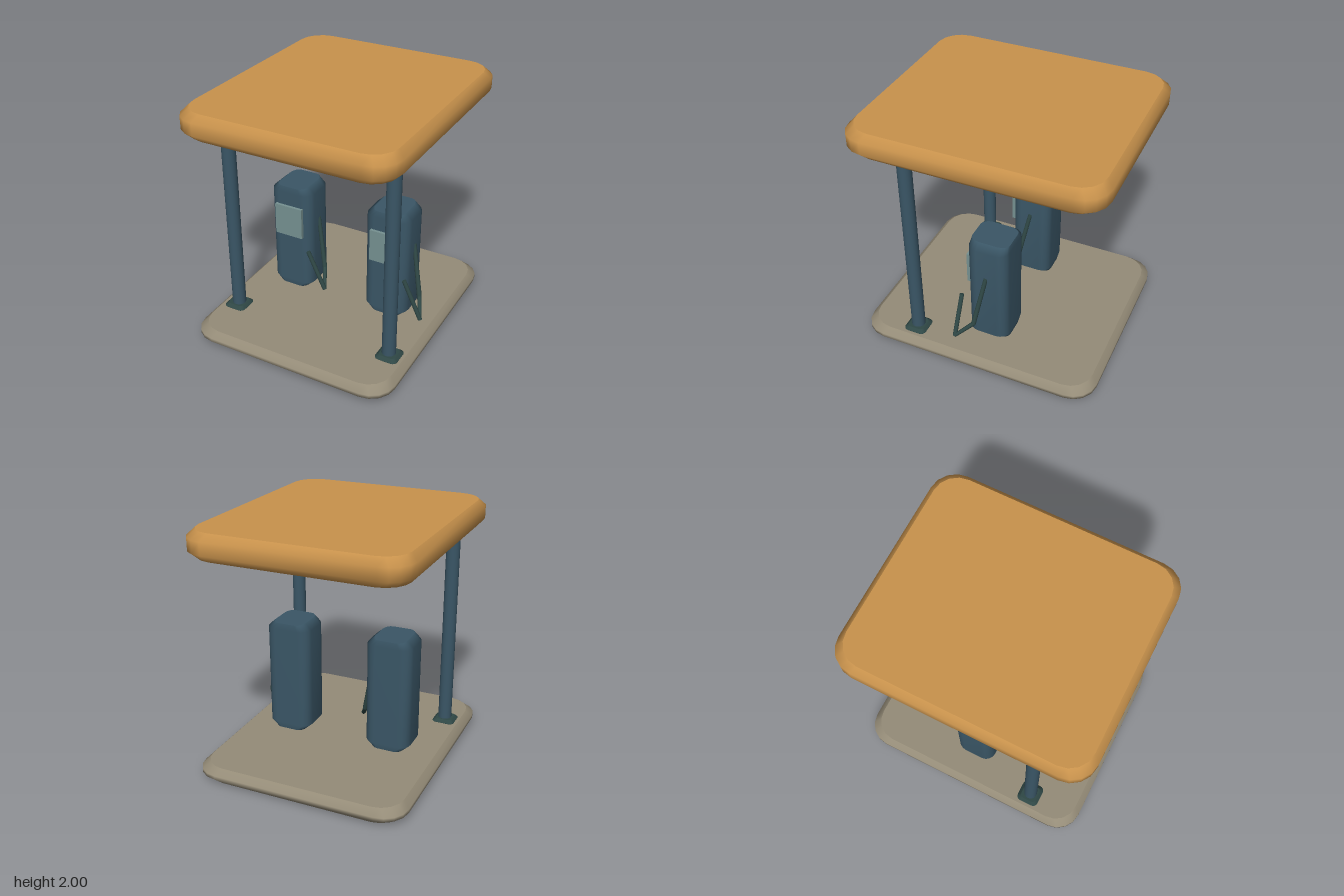
import * as THREE from 'three';

const paint = (name, color) => {
  const m = new THREE.MeshStandardMaterial({ color });
  m.name = name;
  return m;
};

// Rounded-corner block standing on y = 0, its top and bottom rims chamfered by bx, bz and by.
function chamferedBlock(w, d, h, r, bx, bz, by) {
  const ring = [];
  const steps = 4;
  for (let corner = 0; corner < 4; corner++) {
    const sx = corner === 0 || corner === 3 ? 1 : -1;
    const sz = corner < 2 ? 1 : -1;
    for (let i = 0; i <= steps; i++) {
      const a = (corner + i / steps) * Math.PI / 2;
      ring.push([sx * (w / 2 - r) + r * Math.cos(a), sz * (d / 2 - r) + r * Math.sin(a)]);
    }
  }
  const n = ring.length;
  const kx = 1 - 2 * bx / w, kz = 1 - 2 * bz / d;
  const positions = [], index = [];
  const addRing = (y, inset) => {
    for (const [x, z] of ring) positions.push(inset ? x * kx : x, y, inset ? z * kz : z);
  };
  addRing(0, true);
  addRing(by, false);
  addRing(h - by, false);
  addRing(h, true);
  for (let k = 0; k < 3; k++) {
    for (let i = 0; i < n; i++) {
      const a = k * n + i, b = k * n + (i + 1) % n;
      index.push(a, a + n, b, b, a + n, b + n);
    }
  }
  // Separate cap rings keep the flat faces crisp
  addRing(0, true);
  addRing(h, true);
  for (let i = 1; i < n - 1; i++) {
    index.push(4 * n, 4 * n + i, 4 * n + i + 1);
    index.push(5 * n, 5 * n + i + 1, 5 * n + i);
  }
  const g = new THREE.BufferGeometry();
  g.setAttribute('position', new THREE.Float32BufferAttribute(positions, 3));
  g.setIndex(index);
  g.computeVertexNormals();
  return g;
}

// Straight rod between two points
function rodGeometry(from, to, r0, r1) {
  const p = new THREE.Vector3(...from), q = new THREE.Vector3(...to);
  const dir = q.clone().sub(p);
  const g = new THREE.CylinderGeometry(r1, r0, dir.length(), 10);
  g.applyQuaternion(new THREE.Quaternion().setFromUnitVectors(
    new THREE.Vector3(0, 1, 0), dir.clone().normalize()));
  const mid = p.add(q).multiplyScalar(0.5);
  return g.translate(mid.x, mid.y, mid.z);
}

export function createModel() {
  const model = new THREE.Group();
  model.name = 'fuelStation';

  const ochre = paint('ochre', 0xc8924c);
  const stone = paint('stone', 0x958c78);
  const slate = paint('slateBlue', 0x3a5666);
  const darkTeal = paint('darkTeal', 0x2f4745);
  const glass = paint('paleGlass', 0x769191);

  const add = (parent, name, geometry, material, x = 0, y = 0, z = 0) => {
    const mesh = new THREE.Mesh(geometry, material);
    mesh.name = name;
    mesh.position.set(x, y, z);
    parent.add(mesh);
    return mesh;
  };

  // Ground slab and canopy
  add(model, 'base', chamferedBlock(1.72, 1.98, 0.13, 0.2, 0.05, 0.05, 0.05), stone);
  add(model, 'canopy', chamferedBlock(1.72, 1.97, 0.21, 0.2, 0.05, 0.05, 0.055), ochre, 0, 1.79);
  add(model, 'ceilingLamp', new THREE.CylinderGeometry(0.09, 0.09, 0.008, 24), stone, 0, 1.79, 0.545);

  // Front columns with foot plates
  for (const side of [-1, 1]) {
    add(model, 'column', new THREE.CylinderGeometry(0.055, 0.055, 1.68, 20), slate, side * 0.688, 0.96, 0.545);
    add(model, 'columnFoot', chamferedBlock(0.185, 0.185, 0.05, 0.04, 0.025, 0.025, 0.022), darkTeal,
      side * 0.692, 0.105, 0.545);
  }

  // Two identical pumps, each with its hose on the left
  for (const x of [-0.434, 0.43]) {
    const pump = new THREE.Group();
    pump.name = 'pump';
    pump.position.x = x;
    model.add(pump);

    add(pump, 'pumpBody', chamferedBlock(0.372, 0.328, 0.935, 0.085, 0.055, 0.008, 0.05), slate, 0, 0.15, -0.038);
    add(pump, 'display', new THREE.BoxGeometry(0.246, 0.27, 0.03), glass, 0, 0.785, 0.135);

    const top = [0.178, 0.785, -0.038];
    const bend = [0.272, 0.36, 0.035];
    const low = [0.343, 0.24, 0.167];
    const tip = [0.192, 0.56, 0.167];
    add(pump, 'hoseUpper', rodGeometry(top, bend, 0.017, 0.02), darkTeal);
    add(pump, 'hoseLower', rodGeometry(bend, low, 0.018, 0.014), darkTeal);
    add(pump, 'nozzle', rodGeometry(low, tip, 0.018, 0.018), darkTeal);
    add(pump, 'hoseBend', new THREE.SphereGeometry(0.019, 10, 8), darkTeal, ...bend);
  }

  return model;
}
